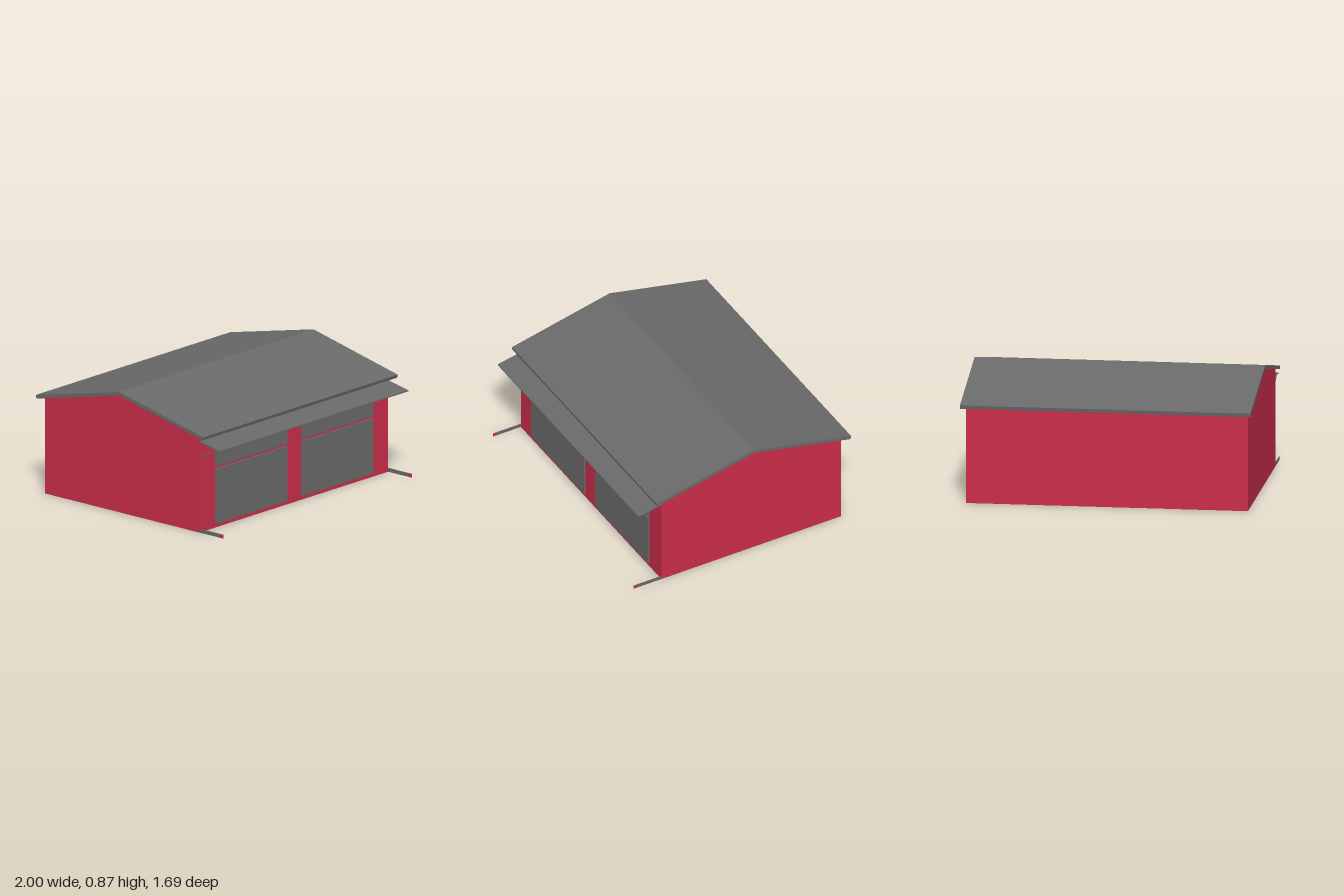
import * as THREE from 'three';

export function createModel() {
  const model = new THREE.Group();
  const red = new THREE.MeshStandardMaterial({ color: 0xcb2d4a, side: THREE.DoubleSide });
  red.name = 'wall red';
  const gray = new THREE.MeshStandardMaterial({ color: 0x6a6a6a, side: THREE.DoubleSide });
  gray.name = 'roof gray';

  const add = (name, geometry, material) => {
    const mesh = new THREE.Mesh(geometry, material);
    mesh.name = name;
    model.add(mesh);
    return mesh;
  };
  const toShape = (pts) => new THREE.Shape(pts.map(([a, b]) => new THREE.Vector2(a, b)));
  const rect = (x0, x1, y0, y1) => [[x0, y0], [x1, y0], [x1, y1], [x0, y1]];
  // flat side profile in (z, y), placed at x
  const sidePlate = (pts, x) => new THREE.ShapeGeometry(toShape(pts)).rotateY(-Math.PI / 2).translate(x, 0, 0);
  // side profile in (z, y), drawn out from x0 to x1
  const sideExtrude = (pts, x0, x1) =>
    new THREE.ExtrudeGeometry(toShape(pts), { depth: x1 - x0, bevelEnabled: false })
      .rotateY(-Math.PI / 2).translate(x1, 0, 0);

  const left = -0.975, right = 0.965, front = 0.625, back = -0.785, ridge = -0.085;
  const eave = 0.685, doorFront = 0.637;

  // gable walls
  const gable = [[back, 0], [front, 0], [front, eave], [ridge, 0.842], [back, eave]];
  for (const x of [left, right]) add('gableWall', sidePlate(gable, x), red);

  // back wall
  add('backWall', new THREE.ShapeGeometry(toShape(rect(left, right, 0, eave))).translate(0, 0, back), red);

  // front wall with door and transom openings
  const wall = toShape(rect(left, right, 0, eave));
  for (const [x0, x1] of [[-0.812, -0.083], [0.071, 0.8]]) {
    for (const [name, y0, y1] of [['garageDoor', 0.03, 0.418], ['transomPanel', 0.438, 0.62]]) {
      const corners = rect(x0, x1, y0, y1);
      wall.holes.push(new THREE.Path(corners.map(([x, y]) => new THREE.Vector2(x, y))));
      // panel stands proud of the wall, with a red lining behind
      const w = x1 - x0, h = y1 - y0, cx = (x0 + x1) / 2, cy = (y0 + y1) / 2;
      add(name, new THREE.BoxGeometry(w, h, 0.004), gray).position.set(cx, cy, doorFront - 0.002);
      add(name + 'Lining', new THREE.PlaneGeometry(w, h), red).position.set(cx, cy, doorFront - 0.006);
      // reveals around the opening
      const depth = doorFront - front, z = (doorFront + front) / 2;
      for (const x of [x0, x1]) add(name + 'Jamb', new THREE.BoxGeometry(0.003, h, depth), gray).position.set(x, cy, z);
      for (const y of [y0, y1]) add(name + 'Rail', new THREE.BoxGeometry(w, 0.003, depth), gray).position.set(cx, y, z);
    }
  }
  add('frontWall', new THREE.ShapeGeometry(wall).translate(0, 0, front), red);

  // pitched roof slab
  add('roof', sideExtrude([
    [0.677, 0.672], [0.683, 0.695], [ridge, 0.866], [-0.845, 0.695], [-0.84, 0.67], [ridge, 0.841],
  ], -1, 1), gray);

  // awning over the doors and its single brace
  add('awning', sideExtrude([[0.623, 0.642], [0.808, 0.608], [0.808, 0.616], [0.623, 0.651]], -0.972, 0.97), gray);
  add('awningBrace', sideExtrude([[0.623, 0.54], [0.795, 0.612], [0.778, 0.616], [0.623, 0.549]], -0.965, -0.945), gray);

  // low apron edges with red tips
  for (const x of [left, right]) {
    add('apronEdge', sidePlate(rect(front, 0.815, 0, 0.028), x), gray);
    add('apronTip', sidePlate(rect(0.815, 0.845, 0, 0.028), x), red);
  }
  return model;
}
